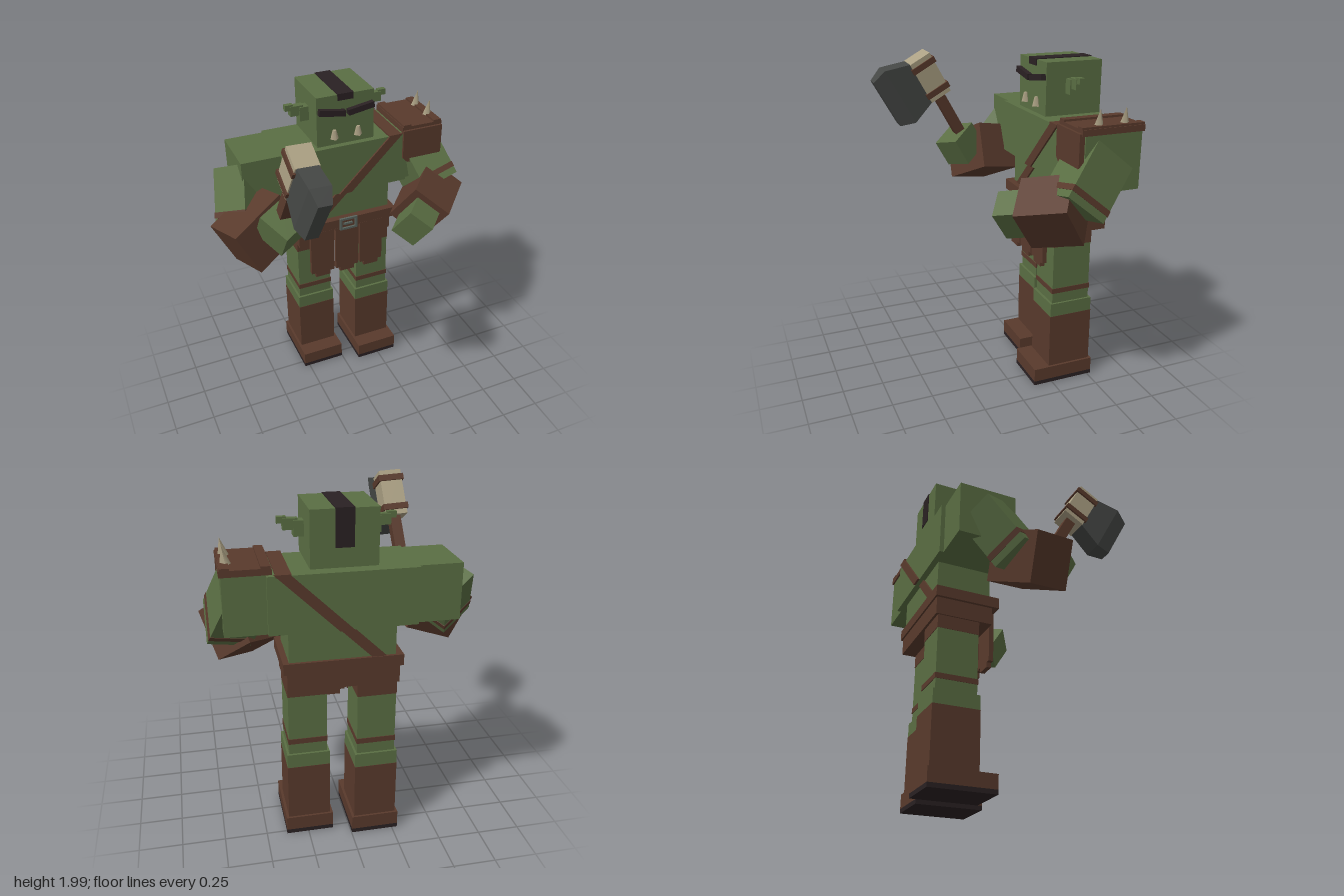
import * as THREE from 'three';
import { ConvexGeometry } from 'three/addons/geometries/ConvexGeometry.js';

const mat = (name, color) => {
  const m = new THREE.MeshStandardMaterial({ color });
  m.name = name;
  return m;
};

export function createModel() {
  const skin = mat('green skin', 0x5a6e43);
  const leather = mat('brown leather', 0x593a2c);
  const dark = mat('dark hair and soles', 0x2a2123);
  const bone = mat('bone and wood', 0xaca184);
  const steel = mat('dark steel', 0x454745);
  const buckle = mat('buckle metal', 0x59645d);

  const model = new THREE.Group();
  model.name = 'greenBrute';
  const V = (a) => new THREE.Vector3(...a);

  const add = (name, geo, m, parent = model) => {
    const mesh = new THREE.Mesh(geo, m);
    mesh.name = name;
    parent.add(mesh);
    return mesh;
  };
  // box given by its limits on each axis
  const box = (name, m, [x0, x1], [y0, y1], [z0, z1], parent = model) => {
    const mesh = add(name, new THREE.BoxGeometry(x1 - x0, y1 - y0, z1 - z0), m, parent);
    mesh.position.set((x0 + x1) / 2, (y0 + y1) / 2, (z0 + z1) / 2);
    return mesh;
  };
  // group turned so that its y runs along axis and its x near hint
  const frame = (name, centre, axis, hint) => {
    const y = V(axis).normalize();
    const x = V(hint).addScaledVector(y, -V(hint).dot(y)).normalize();
    const g = new THREE.Group();
    g.name = name;
    g.applyMatrix4(new THREE.Matrix4().makeBasis(x, y, x.clone().cross(y)));
    g.position.set(...centre);
    model.add(g);
    return g;
  };
  const cbox = (name, m, size, at, parent) => {
    const mesh = add(name, new THREE.BoxGeometry(...size), m, parent);
    mesh.position.set(...at);
    return mesh;
  };
  // flat plate from an outline in x and y
  const plate = (name, m, pts, z0, depth) => {
    const shape = new THREE.Shape(pts.map((p) => new THREE.Vector2(...p)));
    const mesh = add(name, new THREE.ExtrudeGeometry(shape, { depth, bevelEnabled: false }), m);
    mesh.position.z = z0;
    return mesh;
  };

  // head
  const cx = 0.05;
  box('head', skin, [-0.13, 0.23], [1.675, 1.98], [-0.58, -0.23]);
  box('hairStripTop', dark, [0, 0.1], [1.979, 1.985], [-0.584, -0.226]);
  box('hairStripFront', dark, [0, 0.1], [1.945, 1.98], [-0.232, -0.226]);
  box('hairStripBack', dark, [0, 0.1], [1.78, 1.98], [-0.584, -0.578]);
  for (const s of [-1, 1]) {
    const span = (a, b) => (s > 0 ? [cx + a, cx + b] : [cx - b, cx - a]);
    const brow = cbox('eyebrow', dark, [0.165, 0.035, 0.03], [cx + s * 0.09, 1.885, -0.215], model);
    brow.rotation.z = s * 0.16;
    const tusk = add('tusk', new THREE.CylinderGeometry(0.012, 0.026, 0.055, 4), bone);
    tusk.position.set(cx + s * 0.075, 1.745, -0.22);
    // stepped pointed ear
    box('earBase', skin, span(0.18, 0.235), [1.8, 1.885], [-0.41, -0.352]);
    box('earMiddle', skin, span(0.21, 0.29), [1.835, 1.895], [-0.4, -0.36]);
    box('earTip', skin, span(0.27, 0.32), [1.87, 1.905], [-0.395, -0.365]);
  }

  // torso, hips and belt
  box('chest', skin, [-0.35, 0.455], [1.34, 1.66], [-0.61, -0.22]);
  box('waist', skin, [-0.24, 0.35], [1.12, 1.34], [-0.575, -0.25]);
  box('shorts', leather, [-0.265, 0.362], [0.99, 1.1], [-0.582, -0.242]);
  box('belt', leather, [-0.283, 0.383], [1.095, 1.16], [-0.592, -0.205]);
  const rim = [[-0.006, 0.008, 1.085, 1.167], [0.097, 0.111, 1.085, 1.167],
    [0, 0.1, 1.085, 1.098], [0, 0.1, 1.154, 1.167], [0.02, 0.08, 1.12, 1.132]];
  for (const [a, b, c, d] of rim) box('buckleBar', buckle, [a, b], [c, d], [-0.206, -0.192]);

  // diagonal shoulder strap
  const strap = (y0, y1, z) => {
    const x = (y) => 0.33 + (y - 1.66) * 1.03;
    plate('strap', leather, [[x(y0), y0], [x(y0) + 0.08, y0], [x(y1) + 0.08, y1], [x(y1), y1]], z, 0.014);
  };
  strap(1.34, 1.67, -0.222);
  strap(1.34, 1.67, -0.622);
  strap(1.15, 1.34, -0.252);
  strap(1.15, 1.34, -0.587);
  box('strapTop', leather, [0.33, 0.41], [1.655, 1.67], [-0.622, -0.208]);

  // hanging leather flaps with stepped ends
  for (const [x, drop] of [[-0.125, 0], [0.045, 0], [0.215, 0]]) {
    const w = 0.078, n = 0.05, y = 0.79 - drop;
    plate('flap', leather, [[x - w, 1.1], [x - w, y], [x - n, y], [x - n, y - 0.03],
      [x + n, y - 0.03], [x + n, y], [x + w, y], [x + w, 1.1]], -0.232, 0.028);
  }

  // legs, the left one a step forward
  for (const [x, dz] of [[-0.143, -0.07], [0.24, 0]]) {
    const w = (h) => [x - h, x + h];
    const z = (a, b) => [a + dz, b + dz];
    box('thigh', skin, w(0.111), [0.53, 0.92], z(-0.495, -0.25));
    box('shortsLeg', leather, w(0.113), [0.91, 1.0], z(-0.498, -0.247));
    box('kneeStrap', leather, w(0.114), [0.605, 0.637], z(-0.499, -0.246));
    box('shin', skin, w(0.124), [0.45, 0.54], z(-0.51, -0.235));
    box('bootShaft', leather, w(0.125), [0.1, 0.455], z(-0.512, -0.233));
    box('bootFoot', leather, w(0.14), [0.026, 0.11], z(-0.525, -0.13));
    box('sole', dark, w(0.14), [0, 0.026], z(-0.525, -0.13));
  }

  // right arm
  box('rightShoulder', skin, [-0.59, -0.345], [1.34, 1.66], [-0.585, -0.245]);
  const rightUpper = frame('rightUpperArm', [-0.575, 1.4, -0.33], [-0.2, -0.8, 0.56], [0.45, 0, 0.9]);
  cbox('upperArm', skin, [0.24, 0.34, 0.23], [0, 0, 0], rightUpper);
  cbox('armBand', leather, [0.246, 0.035, 0.236], [0, 0.11, 0], rightUpper);
  const rightFore = frame('rightForearm', [-0.555, 1.285, -0.14], [0.28, 0.187, 0.94], [0.854, 0.4, -0.334]);
  cbox('bracer', leather, [0.36, 0.28, 0.29], [0, 0, 0], rightFore);
  const handleDir = [0.06, 0.87, 0.49];
  const rightHand = frame('rightHand', [-0.465, 1.375, 0.045], handleDir, [0.8, 0, -0.55]);
  cbox('fist', skin, [0.18, 0.18, 0.2], [0, 0, 0], rightHand);

  // left arm
  box('leftShoulder', skin, [0.445, 0.68], [1.34, 1.67], [-0.585, -0.245]);
  const leftUpper = frame('leftUpperArm', [0.6, 1.4, -0.31], [0.24, -0.73, 0.6], [1, 0, 0]);
  cbox('upperArm', skin, [0.25, 0.36, 0.28], [0, 0, 0], leftUpper);
  cbox('armBand', leather, [0.256, 0.035, 0.286], [0, 0.12, 0], leftUpper);
  const leftFore = frame('leftForearm', [0.56, 1.226, -0.125], [-0.686, -0.206, 0.7], [0.666, -0.567, 0.486]);
  cbox('bracer', leather, [0.26, 0.306, 0.305], [0, 0, 0], leftFore);
  cbox('fist', skin, [0.17, 0.2, 0.22], [0, 0.2, 0], leftFore);

  // shoulder guard
  box('guardTop', leather, [0.425, 0.69], [1.665, 1.7], [-0.595, -0.22]);
  for (const x of [0.43, 0.635]) box('guardRidge', leather, [x, x + 0.05], [1.7, 1.712], [-0.595, -0.22]);
  plate('guardFront', leather, [[0.425, 1.68], [0.425, 1.5], [0.455, 1.47], [0.66, 1.47],
    [0.688, 1.5], [0.688, 1.68]], -0.235, 0.03);
  for (const z of [-0.49, -0.335]) {
    const spike = add('guardSpike', new THREE.ConeGeometry(0.03, 0.1, 4), bone);
    spike.position.set(0.655, 1.75, z);
    spike.rotation.z = -0.16;
  }

  // hammer; local y along the handle, z towards the striking face
  const hammer = frame('hammer', [-0.425, 1.836, 0.265], handleDir, [1, 0, 0]);
  cbox('handle', leather, [0.065, 0.46, 0.065], [0, -0.32, 0], hammer);
  cbox('woodBlock', bone, [0.135, 0.275, 0.14], [0, 0, 0], hammer);
  for (const y of [-0.09, 0.09]) cbox('woodBand', leather, [0.155, 0.036, 0.16], [0, y, 0], hammer);
  const pts = [];
  for (const [hx, hy, z] of [[0.06, 0.135, 0.06], [0.06, 0.19, 0.22], [0.038, 0.16, 0.31]])
    for (const sx of [-1, 1]) for (const sy of [-1, 1]) pts.push(V([sx * hx, sy * hy, z]));
  add('hammerHead', new ConvexGeometry(pts), steel, hammer);

  return model;
}
